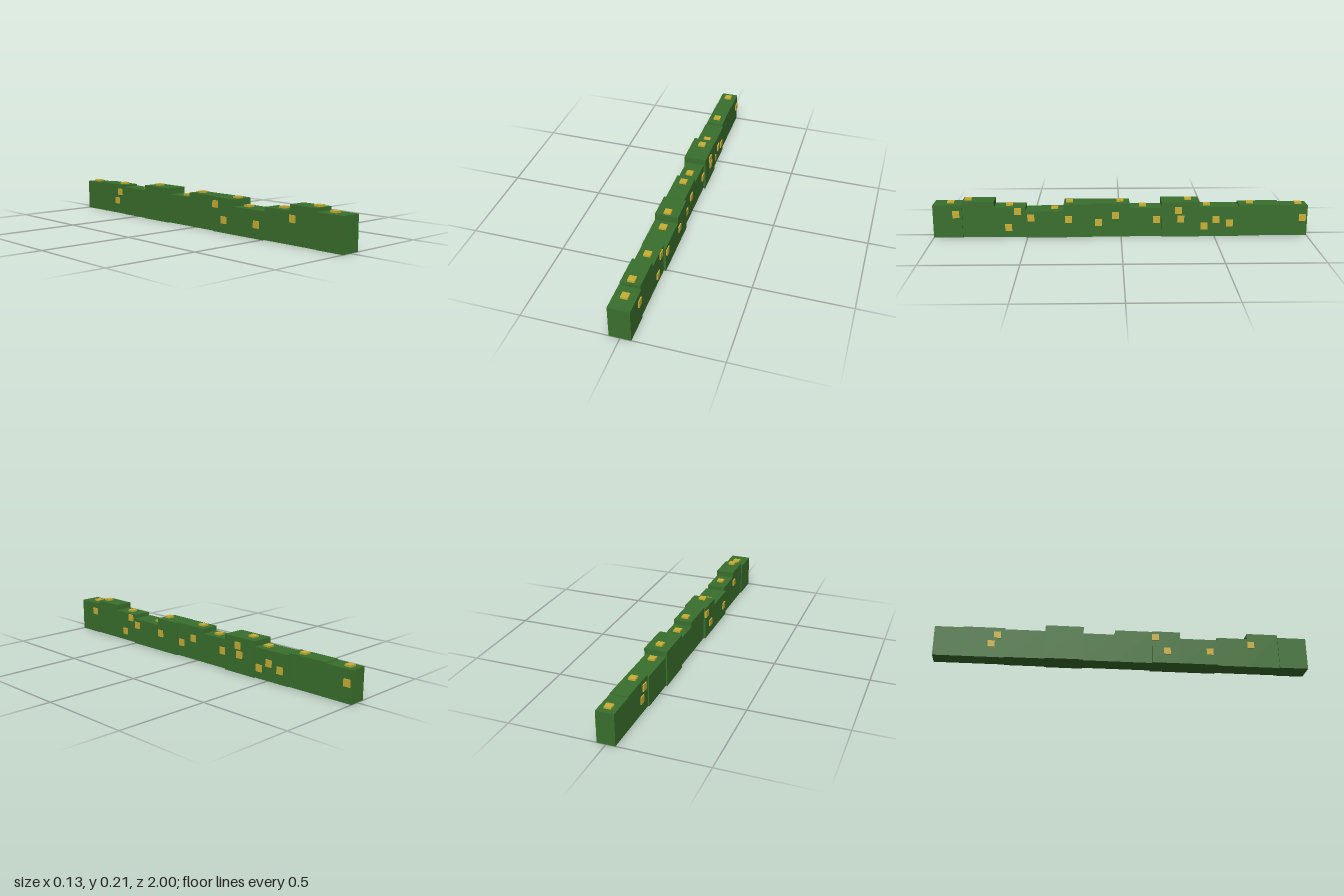
import * as THREE from 'three';

export function createModel() {
  const group = new THREE.Group();
  const leaf = new THREE.MeshStandardMaterial({ name: 'leaf green', color: 0x3a702d });
  const bloom = new THREE.MeshStandardMaterial({ name: 'bloom yellow', color: 0xc9b035 });

  function box(name, material, size, position) {
    const mesh = new THREE.Mesh(new THREE.BoxGeometry(...size), material);
    mesh.name = name;
    mesh.position.set(...position);
    group.add(mesh);
  }

  // Hedge blocks from front to back: front z, back z, half width, height
  const blocks = [
    [1, 0.845, 0.055, 0.178],
    [0.845, 0.675, 0.05, 0.196],
    [0.675, 0.508, 0.05, 0.165],
    [0.508, 0.305, 0.061, 0.145],
    [0.305, 0.153, 0.061, 0.182],
    [0.153, -0.045, 0.05, 0.184],
    [-0.045, -0.215, 0.05, 0.158],
    [-0.215, -0.418, 0.061, 0.191],
    [-0.418, -0.63, 0.053, 0.161],
    [-0.63, -0.85, 0.046, 0.171],
    [-0.85, -1, 0.046, 0.166],
  ];
  for (const [z0, z1, half, h] of blocks) {
    box('hedgeBlock', leaf, [2 * half, h, z0 - z1], [0, h / 2, (z0 + z1) / 2]);
  }
  const blockAt = (z) => blocks.find((b) => z <= b[0] && z >= b[1]);

  // Square blossoms along the top
  const s = 0.037;
  const topZ = [0.91, 0.815, 0.595, 0.355, 0.275, 0.005, -0.115, -0.358, -0.46, -0.69, -0.952];
  for (const z of topZ) {
    box('topBlossom', bloom, [s, 0.018, s], [0, blockAt(z)[3] + 0.001, z]);
  }

  // Square blossoms on the two long sides: z, y
  const leftSide = [
    [0.877, 0.128], [0.6, 0.053], [0.55, 0.142], [0.48, 0.11], [0.28, 0.1],
    [0.12, 0.078], [0.03, 0.118], [-0.19, 0.094], [-0.305, 0.147], [-0.318, 0.1],
    [-0.444, 0.056], [-0.508, 0.094], [-0.58, 0.072], [-0.973, 0.1],
  ];
  const rightSide = [
    [0.693, 0.128], [0.465, 0.073], [0.233, 0.068], [0.17, 0.146], [-0.67, 0.128], [-0.7, 0.075],
  ];
  for (const [side, list] of [[1, leftSide], [-1, rightSide]]) {
    for (const [z, y] of list) {
      box('sideBlossom', bloom, [0.012, s, s], [side * blockAt(z)[2], y, z]);
    }
  }
  return group;
}
